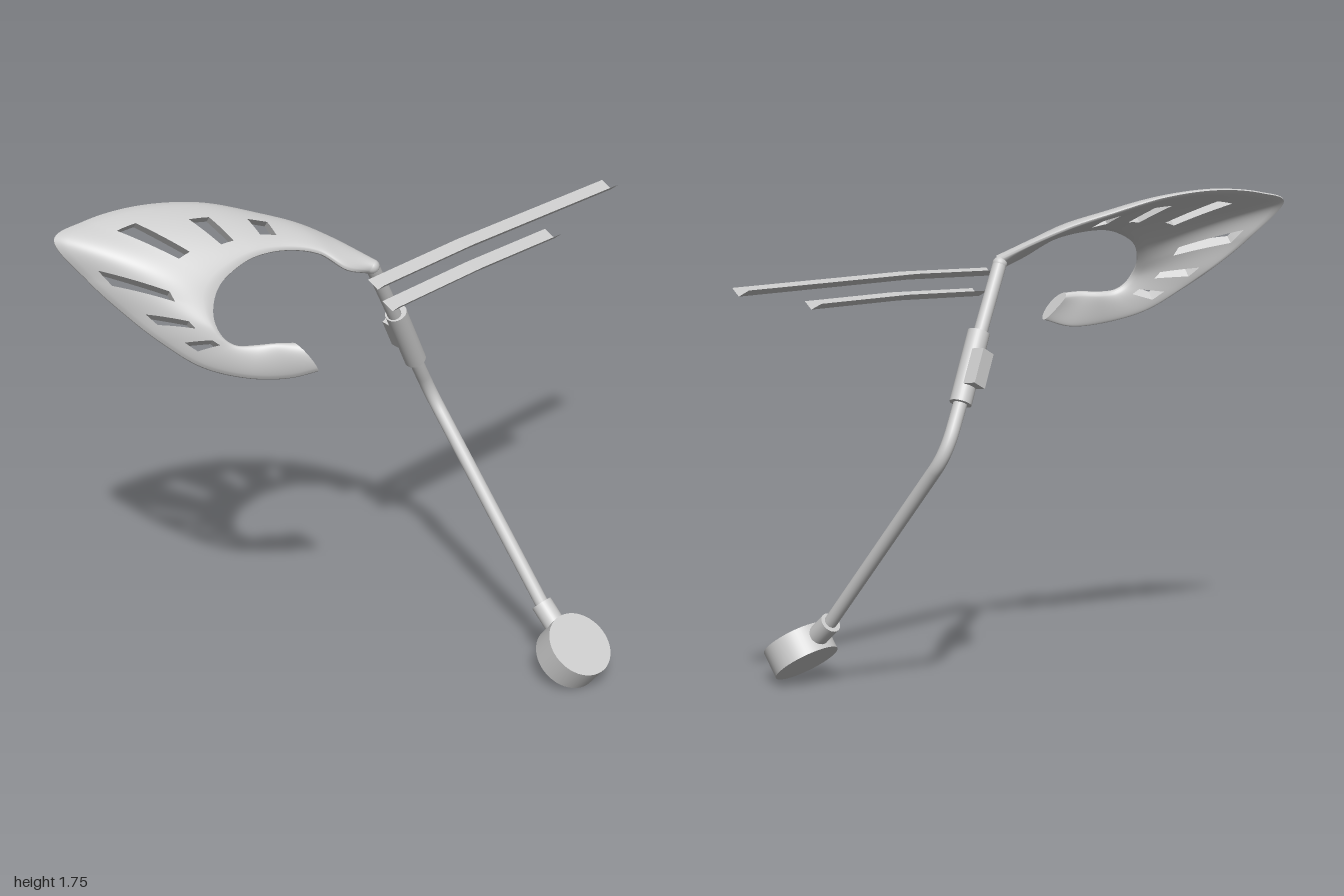
import * as THREE from 'three';

const V = (x, y, z) => new THREE.Vector3(x, y, z);
const grey = new THREE.MeshStandardMaterial({ color: 0xcccccc });
const thin = new THREE.MeshStandardMaterial({ color: 0xcccccc, side: THREE.DoubleSide });

function add(group, name, geometry, material = grey) {
  const mesh = new THREE.Mesh(geometry, material);
  mesh.name = name;
  group.add(mesh);
  return mesh;
}

// Turn a part so its own y axis runs along dir
function align(mesh, centre, dir) {
  mesh.position.copy(centre);
  mesh.quaternion.setFromUnitVectors(V(0, 1, 0), dir.clone().normalize());
}

function rod(group, name, a, b, radius, sides = 32) {
  const mesh = add(group, name, new THREE.CylinderGeometry(radius, radius, a.distanceTo(b), sides));
  align(mesh, a.clone().lerp(b, 0.5), b.clone().sub(a));
}

// Domed leaf plate: lofted between an inner and an outer edge, with radial windows
function plateGeometry() {
  const inner = new THREE.CatmullRomCurve3([
    V(-0.08, 1.5, 0.16), V(-0.1, 1.53, 0.24), V(-0.165, 1.585, 0.3), V(-0.22, 1.612, 0.4),
    V(-0.25, 1.612, 0.51), V(-0.257, 1.59, 0.59), V(-0.255, 1.56, 0.65), V(-0.245, 1.525, 0.685),
    V(-0.225, 1.48, 0.71), V(-0.2, 1.44, 0.715), V(-0.18, 1.405, 0.7), V(-0.16, 1.382, 0.67),
    V(-0.13, 1.377, 0.62), V(-0.09, 1.38, 0.57), V(-0.06, 1.375, 0.52)]);
  const outer = new THREE.CatmullRomCurve3([
    V(-0.09, 1.53, 0.12), V(-0.22, 1.6, 0.2), V(-0.305, 1.645, 0.27), V(-0.385, 1.682, 0.36),
    V(-0.495, 1.735, 0.52), V(-0.58, 1.755, 0.716), V(-0.632, 1.738, 0.89), V(-0.645, 1.705, 1.0),
    V(-0.54, 1.58, 0.957), V(-0.44, 1.48, 0.9), V(-0.335, 1.393, 0.84), V(-0.23, 1.313, 0.76),
    V(-0.13, 1.27, 0.65), V(-0.055, 1.26, 0.545), V(0.012, 1.285, 0.48)]);
  // Windows: start and end along the plate, start and end across it
  const windows = [
    [3.05, 3.45, 0.35, 0.65], [4.2, 4.6, 0.3, 0.65], [5.5, 5.95, 0.35, 0.75],
    [7.65, 8.05, 0.35, 0.8], [9.0, 9.4, 0.35, 0.75], [10.15, 10.55, 0.3, 0.7]];
  const spans = 14, nu = spans * 20, nv = 20;
  const normal = V(0.68, 0.675, 0.29).normalize();
  const solid = (i, j) => {
    if (i < 0 || j < 0 || i >= nu || j >= nv) return false;
    const u = (i + 0.5) / 20, v = (j + 0.5) / nv;
    return !windows.some(w => u > w[0] && u < w[1] && v > w[2] && v < w[3]);
  };
  const pos = [], index = [];
  const push = p => pos.push(p.x, p.y, p.z) / 3 - 1;
  const points = [[], []];
  for (let i = 0; i <= nu; i++) {
    const a = inner.getPoint(i / nu), b = outer.getPoint(i / nu);
    const width = a.distanceTo(b);
    for (let j = 0; j <= nv; j++) {
      const v = 0.5 - 0.5 * Math.cos(Math.PI * j / nv) * 0.3 - 0.7 * (0.5 - j / nv);
      const lens = 4 * v * (1 - v);
      const half = 0.003 + 0.018 * Math.sqrt(Math.max(lens, 0));
      [1, -1].forEach((side, s) => points[s].push(
        a.clone().lerp(b, v).addScaledVector(normal, 0.05 * width * lens + side * half)));
    }
  }
  const id = (i, j) => i * (nv + 1) + j;
  const count = points[0].length;
  points.forEach(list => list.forEach(push));
  const wall = (a, b) => {
    const q = [points[0][a], points[0][b], points[1][b], points[1][a]].map(push);
    index.push(q[0], q[2], q[1], q[0], q[3], q[2]);
  };
  for (let i = 0; i < nu; i++) for (let j = 0; j < nv; j++) {
    if (!solid(i, j)) continue;
    const a = id(i, j), b = id(i + 1, j), c = id(i + 1, j + 1), d = id(i, j + 1);
    index.push(a, d, c, a, c, b);
    index.push(a + count, c + count, d + count, a + count, b + count, c + count);
    if (!solid(i - 1, j)) wall(a, d);
    if (!solid(i, j + 1)) wall(d, c);
    if (!solid(i + 1, j)) wall(c, b);
    if (!solid(i, j - 1)) wall(b, a);
  }
  const g = new THREE.BufferGeometry();
  g.setAttribute('position', new THREE.Float32BufferAttribute(pos, 3));
  g.setIndex(index);
  g.computeVertexNormals();
  return g;
}

// Thin V-section rail, slightly kinked along its length
function railGeometry(x, y, zFront, zBack) {
  const section = [[-0.038, 0.011], [0.008, -0.011], [0.038, 0.014]];
  const stations = [[zFront, y], [-0.25, y + 0.016], [zBack, y + 0.018]];
  const pos = [];
  for (let s = 0; s < 2; s++) for (let k = 0; k < 2; k++) {
    const p = (st, c) => [x + c[0], st[1] + c[1], st[0]];
    const a = p(stations[s], section[k]), b = p(stations[s], section[k + 1]);
    const c = p(stations[s + 1], section[k + 1]), d = p(stations[s + 1], section[k]);
    pos.push(...a, ...b, ...c, ...a, ...c, ...d);
  }
  const g = new THREE.BufferGeometry();
  g.setAttribute('position', new THREE.Float32BufferAttribute(pos, 3));
  g.computeVertexNormals();
  return g;
}

export function createModel() {
  const model = new THREE.Group();
  model.name = 'model';

  add(model, 'leafPlate', plateGeometry(), thin);

  // Bent arm
  const top = V(-0.093, 1.51, 0.13), elbow = V(-0.163, 0.905, -0.215), foot = V(0.39, 0.225, -0.235);
  const bendIn = elbow.clone().lerp(top, 0.13), bendOut = elbow.clone().lerp(foot, 0.09);
  const path = new THREE.CurvePath();
  path.add(new THREE.LineCurve3(top, bendIn));
  path.add(new THREE.QuadraticBezierCurve3(bendIn, elbow, bendOut));
  path.add(new THREE.LineCurve3(bendOut, foot));
  add(model, 'arm', new THREE.TubeGeometry(path, 120, 0.024, 20));
  add(model, 'armJoint', new THREE.SphereGeometry(0.025, 20, 14)).position.copy(top);

  // Sleeve with its side block
  const sleeveTop = V(-0.12, 1.29, -0.005), sleeveEnd = V(-0.148, 1.065, -0.127);
  rod(model, 'sleeve', sleeveEnd, sleeveTop, 0.038);
  const block = add(model, 'sleeveBlock', new THREE.BoxGeometry(0.05, 0.125, 0.055));
  align(block, V(-0.182, 1.18, -0.075), sleeveTop.clone().sub(sleeveEnd));

  // Collar and round weight
  rod(model, 'collar', V(0.367, 0.25, -0.235), V(0.45, 0.175, -0.235), 0.038);
  const axis = V(0.03, 0.04, 0), centre = V(0.52, 0.122, -0.235);
  rod(model, 'weight', centre.clone().sub(axis), centre.clone().add(axis), 0.121, 48);

  // Rails
  add(model, 'upperRail', railGeometry(-0.03, 1.474, 0.175, -1), thin);
  add(model, 'lowerRail', railGeometry(0.012, 1.402, 0.15, -0.65), thin);
  return model;
}
